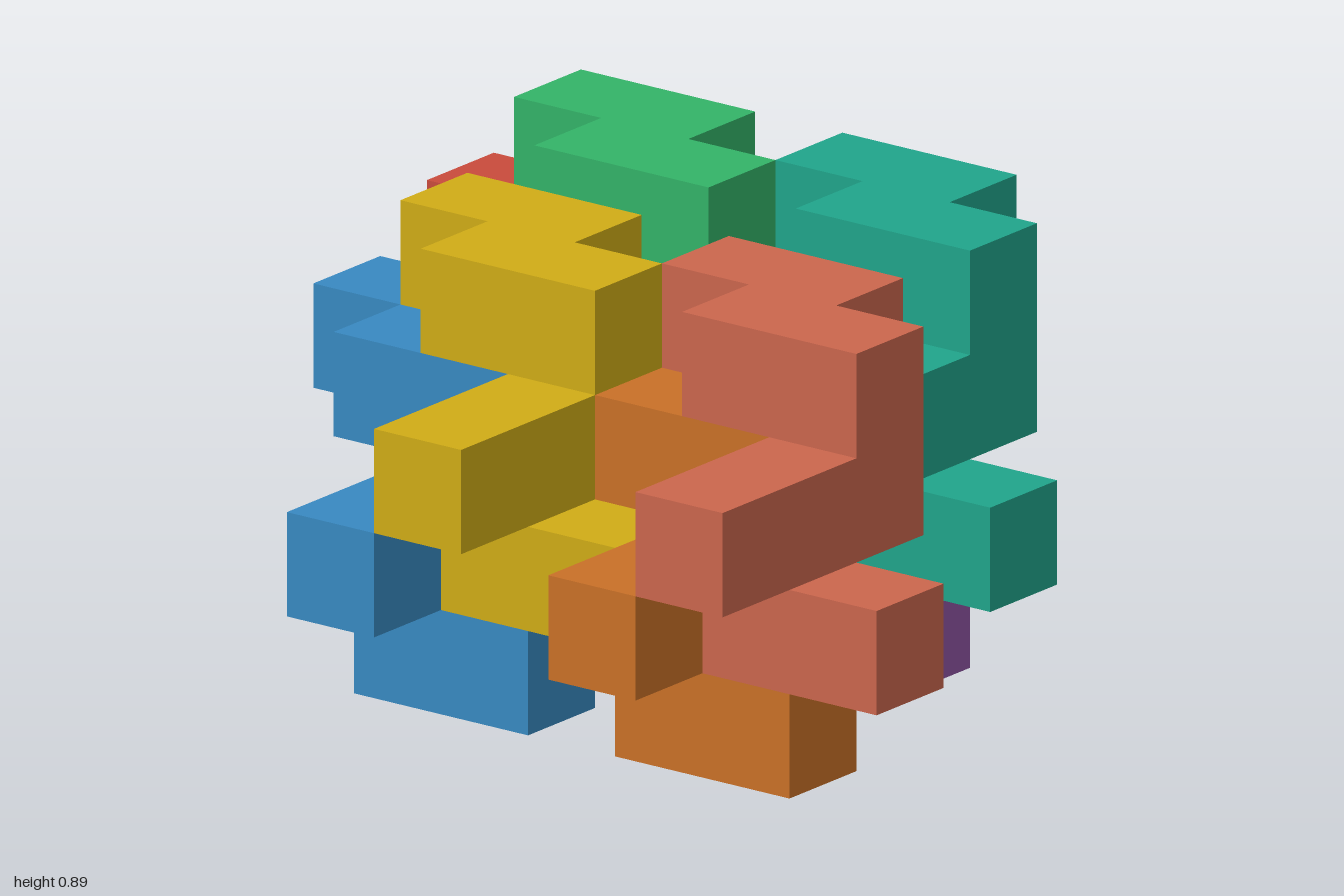
import * as THREE from 'three';
import { mergeGeometries, mergeVertices } from 'three/addons/utils/BufferGeometryUtils.js';

const U = 2 / 9; // edge of one cube

// Cubes of one interlocking piece, in grid steps (x, y, z)
const CELLS = [
  [0, 2, 0], [1, 2, 0], [1, 2, 1], [2, 2, 1], // zigzag on top
  [2, 1, 1], [2, 1, 2], [2, 1, 3],            // bar in the middle
  [2, 0, 2], [3, 0, 2],                       // foot at the bottom
];

// Name, colour and grid offset of each copy
const PIECES = [
  ['redPiece', 0xc94b3c, [0, 0, 0]],
  ['greenPiece', 0x33b368, [1, 1, 0]],
  ['purplePiece', 0x8e55a2, [3, 0, 0]],
  ['tealPiece', 0x20a58b, [4, 1, 0]],
  ['bluePiece', 0x3889c1, [1, 0, 3]],
  ['yellowPiece', 0xd0ac16, [2, 1, 3]],
  ['orangePiece', 0xc97027, [4, 0, 3]],
  ['salmonPiece', 0xcb664d, [5, 1, 3]],
];

const SIDES = [[1, 0, 0], [-1, 0, 0], [0, 1, 0], [0, -1, 0], [0, 0, 1], [0, 0, -1]];

// Outer skin of the piece: a square wherever a cube has no neighbour
function pieceGeometry() {
  const filled = new Set(CELLS.map(String));
  const forward = new THREE.Vector3(0, 0, 1);
  const faces = [];
  for (const cell of CELLS) {
    for (const side of SIDES) {
      if (filled.has(String(cell.map((c, i) => c + side[i])))) continue;
      const turn = new THREE.Quaternion().setFromUnitVectors(forward, new THREE.Vector3(...side));
      const face = new THREE.PlaneGeometry(U, U).translate(0, 0, U / 2).applyQuaternion(turn);
      face.translate(...cell.map((c) => (c + 0.5) * U));
      face.deleteAttribute('uv');
      faces.push(face);
    }
  }
  return mergeVertices(mergeGeometries(faces));
}

export function createModel() {
  const model = new THREE.Group();
  model.name = 'interlockingBlocks';
  const geometry = pieceGeometry();
  for (const [name, color, [x, y, z]] of PIECES) {
    const piece = new THREE.Mesh(geometry, new THREE.MeshStandardMaterial({ color }));
    piece.name = name;
    piece.position.set((x - 4.5) * U, y * U, (z - 3.5) * U);
    model.add(piece);
  }
  return model;
}
